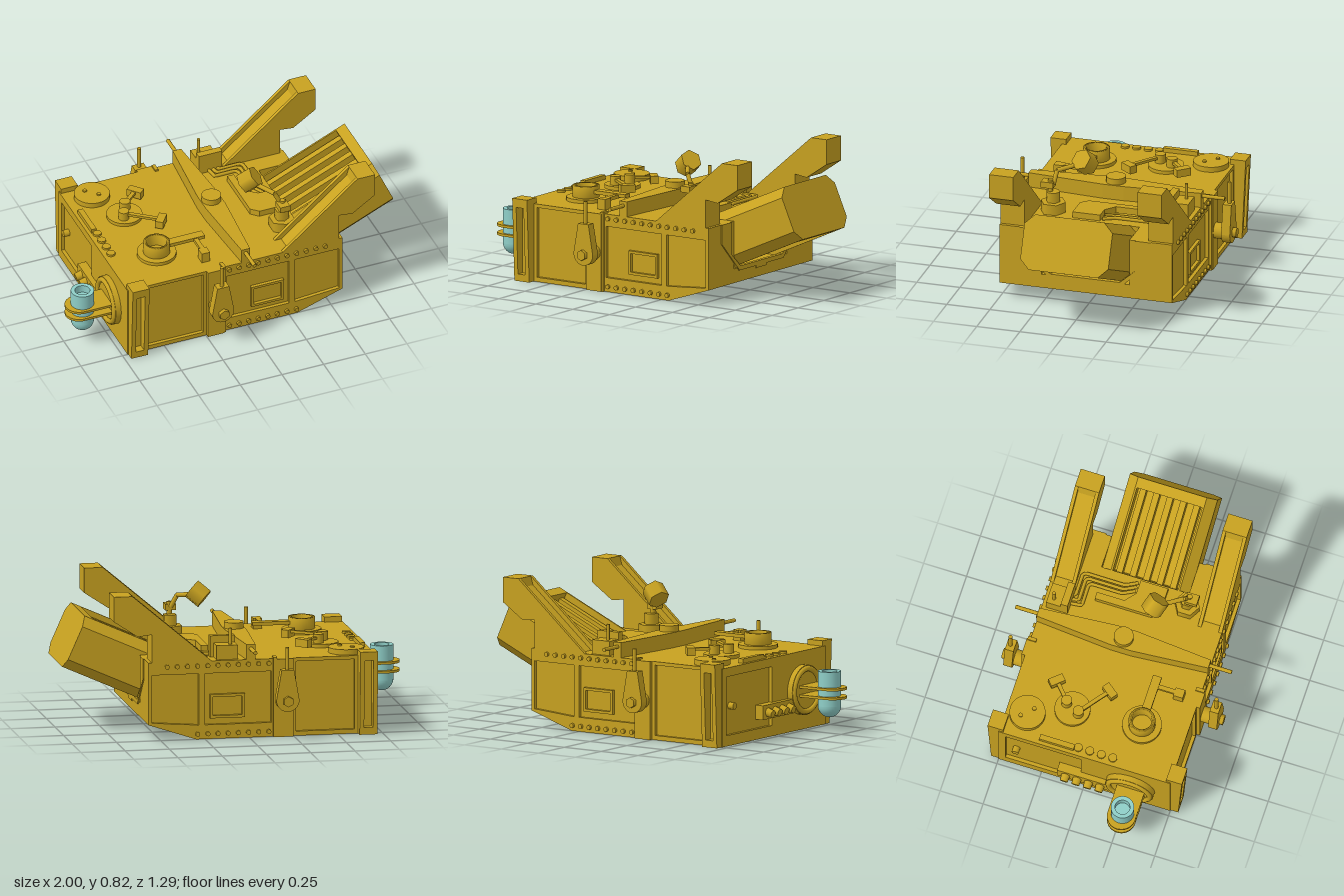
import * as THREE from 'three';

const gold = new THREE.MeshStandardMaterial({ color: 0xc8a220 });
const teal = new THREE.MeshStandardMaterial({ color: 0x8fcfc8 });

const toShape = (pts) => new THREE.Shape(pts.map(([x, y]) => new THREE.Vector2(x, y)));
const rect = (x0, y0, x1, y1) => [[x0, y0], [x1, y0], [x1, y1], [x0, y1]];
const box = (w, h, d) => new THREE.BoxGeometry(w, h, d);
const cyl = (r, h, n = 24, r2 = r) => new THREE.CylinderGeometry(r2, r, h, n);

// x-y outline with holes, extruded and centred on z
function slab(pts, depth, holes = []) {
  const s = toShape(pts);
  holes.forEach((h) => s.holes.push(toShape(h)));
  return new THREE.ExtrudeGeometry(s, { depth, bevelEnabled: false }).translate(0, 0, -depth / 2);
}
// z-y outline (mirror symmetric or already in -z order), extruded along x from x0
const slabX = (pts, x0, depth, holes) => slab(pts, depth, holes).rotateY(Math.PI / 2).translate(x0 + depth / 2, 0, 0);
// x-z outline lying flat, from y0 upwards
const plate = (pts, y0, h) => slab(pts.map(([x, z]) => [x, -z]), h).rotateX(-Math.PI / 2).translate(0, y0 + h / 2, 0);

export function createModel() {
  const model = new THREE.Group();
  const add = (name, geo, p = [0, 0, 0], r = [0, 0, 0], parent = model, mat = gold) => {
    const m = new THREE.Mesh(geo, mat);
    m.name = name;
    m.position.set(...p);
    m.rotation.set(...r);
    parent.add(m);
    return m;
  };
  const rod = (name, a, b, r, n = 10) => {
    const va = new THREE.Vector3(...a), d = new THREE.Vector3(...b).sub(va);
    const m = add(name, cyl(r, d.length(), n), va.clone().addScaledVector(d, 0.5).toArray());
    m.quaternion.setFromUnitVectors(new THREE.Vector3(0, 1, 0), d.normalize());
    return m;
  };
  const X90 = [Math.PI / 2, 0, 0], Z90 = [0, 0, Math.PI / 2];

  // Hull: two flanks and a middle with a pocket for the chute
  const hull = [[-0.7, 0], [0.3, 0], [0.57, 0.09], [0.57, 0.44], [-0.7, 0.44]];
  add('hullMiddle', slab([[-0.7, 0], [0.3, 0], [0.57, 0.09], [0.57, 0.17], [0.38, 0.17], [0.38, 0.44], [-0.7, 0.44]], 0.51));
  for (const s of [1, -1]) {
    add('hullFlank', slab(hull, 0.225), [0, 0, s * 0.3675]);
    // Side skin with recessed panels
    add('sideSkin', slab(hull, 0.02, [
      rect(-0.595, 0.025, -0.265, 0.42), rect(-0.125, 0.08, 0.25, 0.37),
      [[0.285, 0.08], [0.55, 0.1], [0.55, 0.37], [0.285, 0.37]],
    ]), [0, 0, s * 0.49]);
    add('sideHatchFrame', slab(rect(0.025, 0.115, 0.22, 0.25), 0.022, [rect(0.04, 0.13, 0.205, 0.235)]), [0, 0, s * 0.488]);
    for (let i = 0; i < 11; i++) {
      const x = -0.11 + i * 0.0575;
      add('bolt', cyl(0.013, 0.02, 10), [x, 0.415, s * 0.503], X90);
      if (i < 8) add('bolt', cyl(0.013, 0.02, 10), [x, 0.03, s * 0.503], X90);
    }

    // Slotted corner post, leaning outwards
    const post = slab(rect(-0.715, 0, -0.615, 0.47), 0.07, [rect(-0.69, 0.04, -0.64, 0.42)]);
    const v = post.attributes.position;
    for (let i = 0; i < v.count; i++) if (v.getZ(i) * s > 0) v.setZ(i, v.getZ(i) + s * 0.045 * v.getY(i));
    post.computeVertexNormals();
    add('cornerPost', post, [0, 0, s * 0.51]);

    // Side band carrying the lever
    add('sideBand', box(0.1, 0.44, 0.06), [-0.195, 0.22, s * 0.49]);
    add('sideBandFlange', box(0.02, 0.45, 0.05), [-0.145, 0.225, s * 0.49]);
    add('leverPivot', cyl(0.045, 0.1, 20), [-0.195, 0.22, s * 0.55], X90);
    add('leverNut', cyl(0.03, 0.03, 6), [-0.195, 0.22, s * 0.63], X90);
    const lever = new THREE.Shape();
    lever.absarc(0, 0, 0.065, Math.PI, 2 * Math.PI, false);
    lever.lineTo(0.035, 0.17);
    lever.lineTo(-0.035, 0.17);
    add('lever', new THREE.ExtrudeGeometry(lever, { depth: 0.05, bevelEnabled: false }).translate(0, 0, -0.025),
      [-0.195, 0.225, s * 0.597]);
    add('leverRod', cyl(0.011, 0.13, 10), [-0.195, 0.455, s * 0.6]);

    // Raised arm with a channel along its slope
    const arm = [[0.2, 0.43], [0.55, 0.43], [0.55, 0.6], [0.63, 0.59], [0.765, 0.68], [0.765, 0.82], [0.66, 0.82]];
    const armCore = [[0.24, 0.43], ...arm.slice(1, 6), [0.66, 0.82], [0.645, 0.77]];
    add('armCore', slab(armCore, 0.1), [0, 0, s * 0.43]);
    for (const z of [0.37, 0.49]) add('armCheek', slab(arm, 0.02), [0, 0, s * z]);

    // Rod at the end of the cross beam
    add('beamRod', cyl(0.011, 0.16, 10), [-0.01, 0.5, s * 0.55], X90);
  }

  // End frames
  add('rearFrame', slabX([[-0.5, 0], [0.5, 0], [0.5, 0.44], [-0.5, 0.44]], -0.72, 0.025,
    [rect(0.02, 0.06, 0.46, 0.39)]));
  add('chuteFrame', slabX([[0.38, 0.44], [0.29, 0.44], [0.29, 0.26], [0.2, 0.18], [-0.2, 0.18], [-0.29, 0.26], [-0.29, 0.44],
    [-0.38, 0.44], [-0.38, 0.33], [-0.21, 0.155], [-0.05, 0.155], [-0.05, 0.142], [0.05, 0.142], [0.05, 0.155],
    [0.21, 0.155], [0.38, 0.33]], 0.555, 0.022));

  // Tilted chute with slatted recesses above and below
  const chute = new THREE.Group();
  chute.name = 'chute';
  chute.position.set(0.935, 0.52, 0);
  chute.rotation.z = 0.42;
  model.add(chute);
  const side = [[0.19, -0.155], [0.2, -0.155], [0.255, -0.1], [0.255, 0.1], [0.2, 0.155], [0.19, 0.155]];
  const mirror = (pts) => pts.map(([a, b]) => [-a, b]).reverse();
  add('chuteSide', slabX(side, -0.6, 0.6), undefined, undefined, chute);
  add('chuteSide', slabX(mirror(side), -0.6, 0.6), undefined, undefined, chute);
  add('chuteCap', slabX([...side.slice(1, 5), ...mirror(side.slice(1, 5))], -0.06, 0.06), undefined, undefined, chute);
  add('chuteCore', box(0.56, 0.12, 0.4), [-0.3, 0, 0], undefined, chute);
  add('chuteBack', box(0.06, 0.27, 0.4), [-0.57, 0, 0], undefined, chute);
  for (let i = -2; i <= 2; i++) add('slat', box(0.54, 0.25, 0.035), [-0.3, 0, i * 0.078], undefined, chute);

  // Cross beam, widest at its central boss
  add('crossBeam', plate([[-0.035, -0.5], [0.015, -0.5], [0.05, -0.06], [0.05, 0.06], [0.015, 0.5], [-0.035, 0.5],
    [-0.07, 0.06], [-0.07, -0.06]], 0.44, 0.085));
  add('beamBoss', cyl(0.055, 0.04, 24), [-0.01, 0.54, 0]);

  // Deck discs and double-arm mechanism
  add('deckDisc', cyl(0.1, 0.03, 32), [-0.57, 0.455, -0.38]);
  for (const d of [-0.03, 0.03]) add('discPin', cyl(0.012, 0.01, 10), [-0.57 + d, 0.473, -0.38 + d]);
  add('turntable', cyl(0.1, 0.02, 32), [-0.47, 0.45, -0.15]);
  for (const [a, b] of [[[-0.45, -0.19], [-0.35, -0.28]], [[-0.49, -0.11], [-0.32, 0.02]]]) {
    add('turntablePost', cyl(0.03, 0.06, 20), [a[0], 0.48, a[1]]);
    const dx = b[0] - a[0], dz = b[1] - a[1], turn = [0, -Math.atan2(dz, dx), 0];
    add('swingArm', box(Math.hypot(dx, dz), 0.015, 0.022), [(a[0] + b[0]) / 2, 0.49, (a[1] + b[1]) / 2], turn);
    add('swingBlock', box(0.045, 0.045, 0.085), [b[0], 0.48, b[1]], turn);
  }

  // Filler ring with side arm
  add('fillerBase', cyl(0.11, 0.02, 32), [-0.44, 0.45, 0.245]);
  const ring = [[0.055, 0.45], [0.075, 0.45], [0.075, 0.525], [0.055, 0.525], [0.055, 0.45]];
  add('fillerRing', new THREE.LatheGeometry(ring.map(([r, y]) => new THREE.Vector2(r, y)), 32).toNonIndexed(), [-0.44, 0, 0.245]);
  add('fillerArm', box(0.21, 0.02, 0.05), [-0.265, 0.495, 0.245]);
  add('fillerLink', box(0.025, 0.02, 0.14), [-0.215, 0.49, 0.32]);
  add('fillerBlock', box(0.05, 0.06, 0.055), [-0.215, 0.47, 0.39]);

  // Lamp on a jointed stand
  add('lampBase', cyl(0.072, 0.06, 6), [0.3, 0.47, 0.27]);
  add('lampCollar', cyl(0.04, 0.06, 6), [0.3, 0.53, 0.27]);
  add('lampStem', cyl(0.015, 0.1, 10), [0.3, 0.58, 0.285]);
  add('lampJoint', box(0.06, 0.035, 0.07), [0.295, 0.6, 0.3]);
  rod('lampArm', [0.295, 0.6, 0.27], [0.26, 0.67, 0.26], 0.013);
  rod('lampArm', [0.26, 0.67, 0.26], [0.18, 0.69, 0.15], 0.013);
  rod('lampHead', [0.135, 0.67, 0.11], [0.2, 0.725, 0.14], 0.062, 6);

  // Junction block, pipes and deck cover
  add('junctionBlock', box(0.14, 0.12, 0.04), [0.13, 0.5, -0.37]);
  add('junctionBase', box(0.12, 0.08, 0.11), [0.12, 0.48, -0.42]);
  add('junctionPin', cyl(0.01, 0.1, 8), [0.095, 0.56, -0.44]);
  for (let i = 0; i < 3; i++) {
    const o = i * 0.025;
    const pts = [[0.12 + o, -0.36], [0.13 + o, -0.29 - o], [0.25 + o, -0.29 - o], [0.265 + o, -0.27 - o], [0.265 + o, -0.1], [0.3 + o, -0.03]];
    const path = new THREE.CatmullRomCurve3(pts.map(([x, z]) => new THREE.Vector3(x, 0.45, z)), false, 'catmullrom', 0.1);
    add('pipe', new THREE.TubeGeometry(path, 40, 0.01, 8));
  }
  add('deckCover', plate([[0.18, -0.23], [0.22, -0.23], [0.22, -0.07], [0.28, -0.02], [0.36, -0.02], [0.36, 0.14],
    [0.22, 0.14], [0.18, 0.1]], 0.435, 0.04));

  // Rear face: round port, stud bank and edge fittings
  add('portPlate', cyl(0.14, 0.035, 32), [-0.735, 0.225, 0.27], Z90);
  add('portRim', new THREE.TorusGeometry(0.12, 0.016, 10, 32), [-0.752, 0.225, 0.27], [0, Math.PI / 2, 0]);
  add('studBank', box(0.05, 0.08, 0.3), [-0.725, 0.15, 0]);
  for (let i = 0; i < 4; i++) {
    const z = -0.1 + i * 0.067;
    add('stud', cyl(0.026, 0.05, 12, 0.022), [-0.76, 0.145, z], [0, 0, 1.8]);
    add('edgeCap', cyl(0.024, 0.012, 16), [-0.675, 0.446, z + 0.05]);
  }
  add('rearPeg', cyl(0.02, 0.05, 12), [-0.71, 0.22, -0.4], Z90);
  add('edgePlate', box(0.03, 0.03, 0.2), [-0.685, 0.45, -0.17]);

  // Clamped canister
  const clamp = new THREE.Shape();
  clamp.moveTo(-0.74, -0.08);
  clamp.lineTo(-0.74, 0.08);
  clamp.lineTo(-0.92, 0.08);
  clamp.absarc(-0.92, 0, 0.08, Math.PI / 2, Math.PI * 1.5, false);
  for (const y of [0.2, 0.25]) {
    add('clampPlate', new THREE.ExtrudeGeometry(clamp, { depth: 0.014, bevelEnabled: false }).rotateX(-Math.PI / 2), [0, y - 0.007, 0.28]);
  }
  const can = [];
  for (let i = 0; i <= 10; i++) {
    const a = (i / 10) * Math.PI / 2;
    can.push(new THREE.Vector2(0.065 * Math.sin(a), 0.15 - 0.065 * Math.cos(a)));
  }
  add('canister', new THREE.LatheGeometry(can, 28), [-0.9, 0, 0.28], undefined, model, teal);
  add('canister', new THREE.CylinderGeometry(0.065, 0.065, 0.195, 28, 1, true), [-0.9, 0.2475, 0.28], undefined, model, teal);
  add('canisterLip', new THREE.RingGeometry(0.042, 0.065, 28), [-0.9, 0.345, 0.28], [-Math.PI / 2, 0, 0], model, teal);
  const well = [[0, 0.3], [0.042, 0.3], [0.042, 0.3], [0.042, 0.345]].map(([r, y]) => new THREE.Vector2(r, y));
  const inner = teal.clone();
  inner.side = THREE.DoubleSide;
  add('canisterWell', new THREE.LatheGeometry(well, 28), [-0.9, 0, 0.28], undefined, model, inner);

  return model;
}
